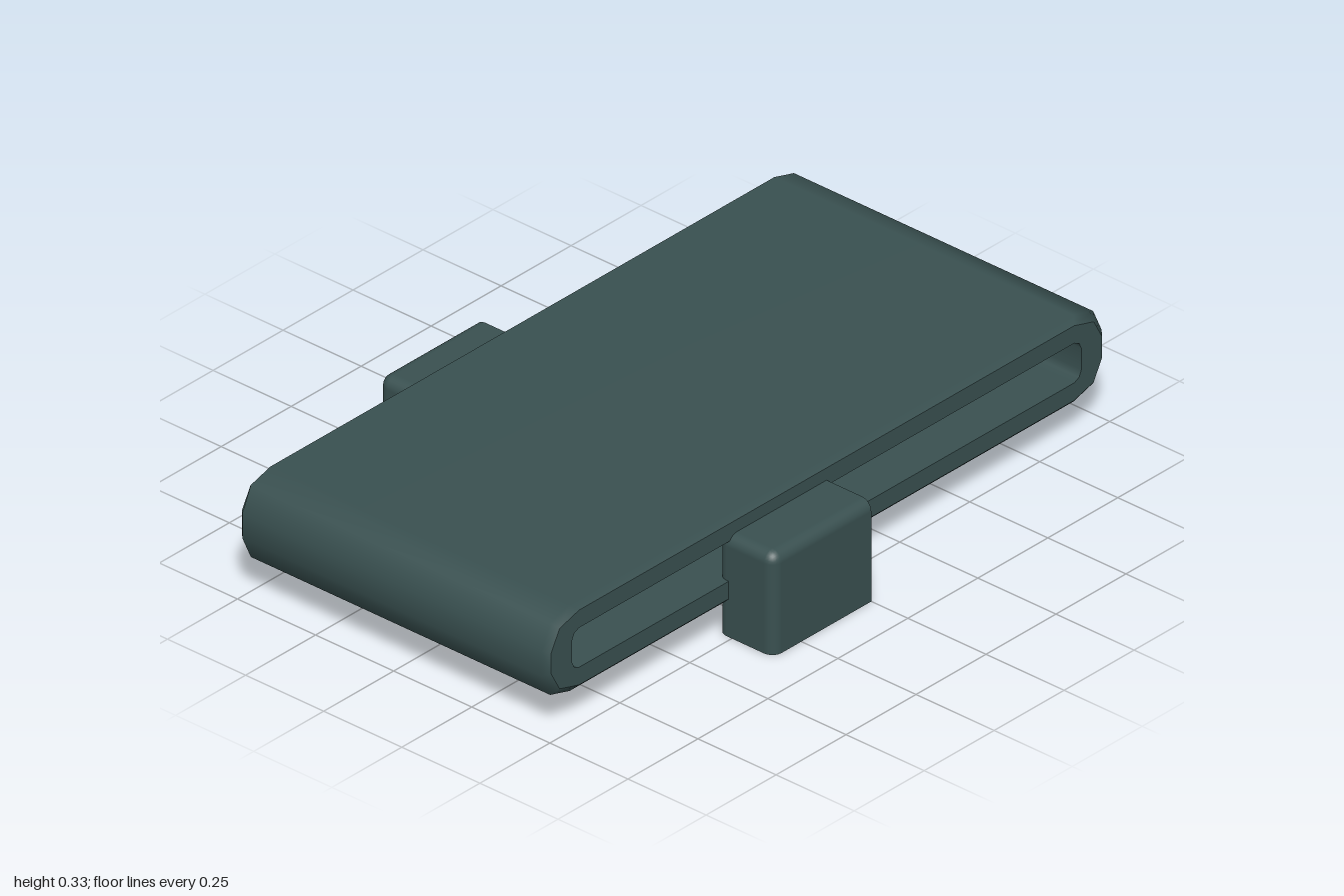
import * as THREE from 'three';
import { RoundedBoxGeometry } from 'three/addons/geometries/RoundedBoxGeometry.js';

// Mirror one quarter of a profile (first point nearest the x axis) into a counterclockwise loop
function loop(quarter) {
  const back = [...quarter].reverse();
  return [
    ...quarter,
    ...back.map(([x, y]) => [-x, y]),
    ...quarter.map(([x, y]) => [-x, -y]),
    ...back.map(([x, y]) => [x, -y]),
  ];
}

// Place a loop at depth z, pulled inwards by inset
const ring = (pts, z, inset = 0) => pts.map(([x, y]) =>
  [x - Math.sign(x) * inset, y - Math.sign(y) * inset * Math.min(1, Math.abs(y) / 0.1), z]);

// Smooth skin through successive rings
function skin(rings) {
  const n = rings[0].length, index = [];
  for (let r = 0; r < rings.length - 1; r++) {
    for (let i = 0; i < n; i++) {
      const j = (i + 1) % n, a = r * n, b = a + n;
      index.push(a + i, b + i, a + j, b + i, b + j, a + j);
    }
  }
  const g = new THREE.BufferGeometry();
  g.setAttribute('position', new THREE.Float32BufferAttribute(rings.flat(2), 3));
  g.setIndex(index);
  g.computeVertexNormals();
  return g;
}

// Half of a rounded box: cut at x = 0 and y = 0, with both cuts left open
function clipGeometry() {
  const src = new RoundedBoxGeometry(0.7, 0.56, 0.18, 3, 0.03);
  const p = src.attributes.position, nrm = src.attributes.normal;
  const pos = [], normals = [];
  for (let t = 0; t < p.count; t += 3) {
    const ids = [t, t + 1, t + 2];
    if (ids.every(i => p.getX(i) >= 0) || ids.every(i => p.getY(i) <= 0)) continue;
    for (const i of ids) {
      pos.push(Math.min(p.getX(i), 0), Math.max(p.getY(i), 0), p.getZ(i));
      normals.push(nrm.getX(i), nrm.getY(i), nrm.getZ(i));
    }
  }
  const g = new THREE.BufferGeometry();
  g.setAttribute('position', new THREE.Float32BufferAttribute(pos, 3));
  g.setAttribute('normal', new THREE.Float32BufferAttribute(normals, 3));
  return g;
}

export function createModel() {
  const model = new THREE.Group();
  const slate = new THREE.MeshStandardMaterial({ color: 0x395050, side: THREE.DoubleSide });
  slate.name = 'dark slate';

  const add = (name, geometry, parent) => {
    const mesh = new THREE.Mesh(geometry, slate);
    mesh.name = name;
    parent.add(mesh);
    return mesh;
  };

  // Flat sleeve, open from front to back
  const sleeve = new THREE.Group();
  sleeve.name = 'sleeve';
  sleeve.position.y = 0.21;
  model.add(sleeve);

  const outer = loop([[1, 0.035], [0.97, 0.1], [0.9, 0.12]]);
  const hole = loop([[0.91, 0.03], [0.902, 0.047], [0.885, 0.055]]);
  const front = 0.49, rear = -0.5, bevel = 0.016;

  add('sleeveShell', skin([
    ring(outer, front, bevel), ring(outer, front - bevel),
    ring(outer, rear + bevel), ring(outer, rear, bevel),
  ]), sleeve);
  add('frontRim', skin([ring(hole, front), ring(outer, front, bevel)]), sleeve);
  add('backRim', skin([ring(outer, rear, bevel), ring(hole, rear)]), sleeve);
  add('innerWall', skin([ring(hole, rear), ring(hole, front)]), sleeve);

  // Thin clips at both openings
  const clip = clipGeometry();
  add('frontClip', clip, model).position.z = 0.543;
  add('backClip', clip, model).position.z = -0.543;

  return model;
}
